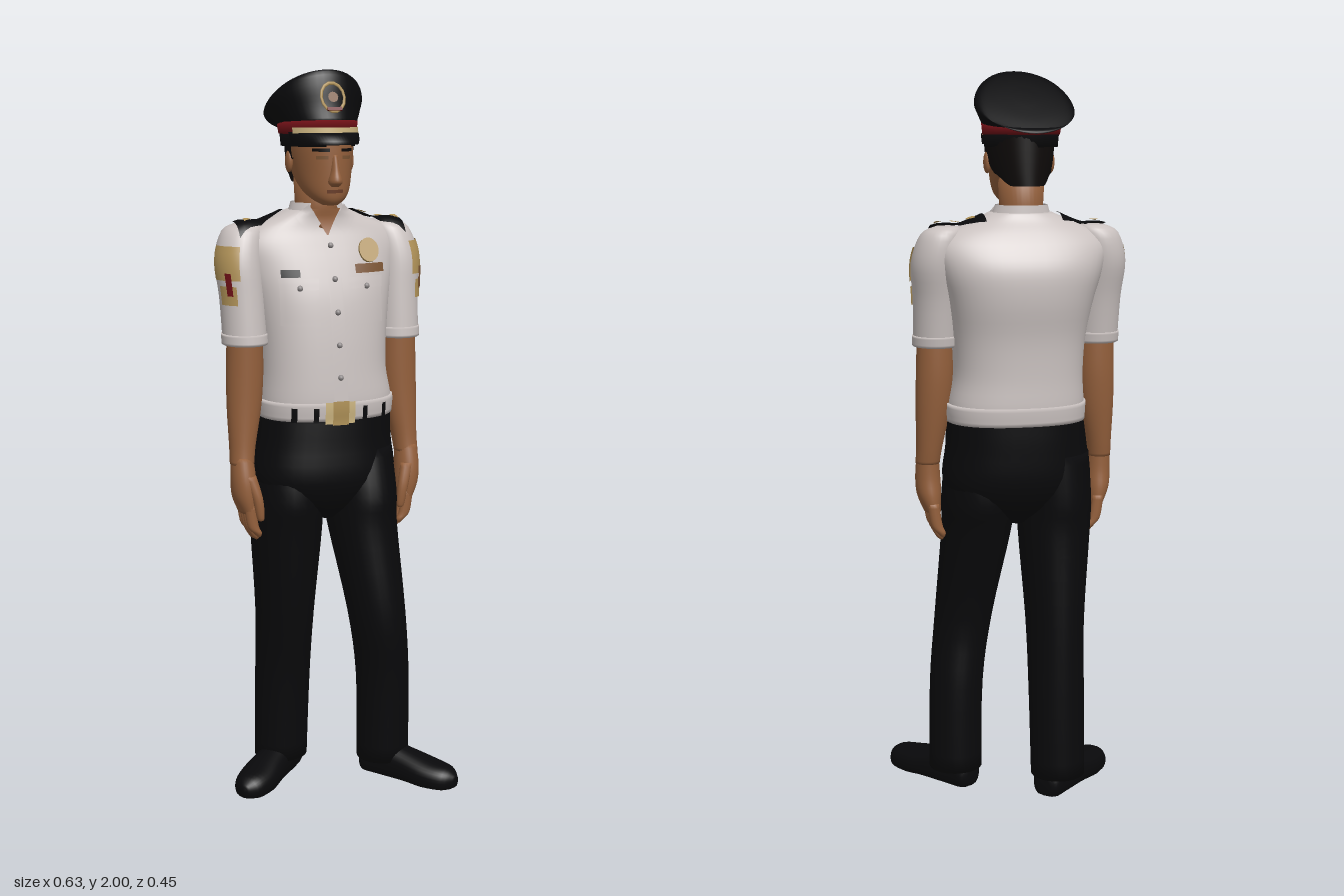
import * as THREE from 'three';

const mat = (name, color, side = THREE.FrontSide) => {
  const m = new THREE.MeshStandardMaterial({ color, side });
  m.name = name;
  return m;
};
const D = THREE.DoubleSide;
const M = {
  black: mat('black cloth', 0x09090b, D), shirt: mat('shirt white', 0xcac2c0, D),
  skin: mat('skin', 0x94603c, D), lips: mat('dark skin', 0x6a3d28, D),
  hair: mat('hair', 0x0e0a09, D), gold: mat('gold', 0xb09258, D),
  pale: mat('pale gold', 0xcdb682, D), red: mat('red', 0x6e1016, D),
  brown: mat('ribbon brown', 0x7a5434, D), button: mat('button grey', 0x8f8a8a),
};

// A section is [y, centreX, centreZ, halfX, halfZ, tilt]
function densify(sections, steps = 4) {
  const s = sections[0][0] > sections.at(-1)[0] ? [...sections].reverse() : sections;
  const out = [];
  const at = (i, k) => s[Math.max(0, Math.min(s.length - 1, i))][k] ?? 0;
  for (let i = 0; i < s.length - 1; i++)
    for (let q = 0; q < steps; q++) {
      const t = q / steps;
      out.push([0, 1, 2, 3, 4, 5].map((k) => {
        const [a, b, c, d] = [at(i - 1, k), at(i, k), at(i + 1, k), at(i + 2, k)];
        return b + 0.5 * t * (c - a + t * (2 * a - 5 * b + 4 * c - d + t * (3 * (b - c) + d - a)));
      }));
    }
  out.push([0, 1, 2, 3, 4, 5].map((k) => at(s.length - 1, k)));
  return out;
}

// Skin over sections; a partial arc leaves it open
function loft(rings, { n = 2, seg = 32, arc = null } = {}) {
  const pos = [], idx = [], cols = arc ? seg + 1 : seg;
  const pw = (v) => Math.sign(v) * Math.abs(v) ** (2 / n);
  const [a0, a1] = arc ?? [0, Math.PI * 2];
  for (const [y, cx, cz, rx, rz, tilt = 0] of rings)
    for (let j = 0; j < cols; j++) {
      const a = a0 + (a1 - a0) * j / seg, dz = rz * pw(Math.sin(a));
      pos.push(cx + rx * pw(Math.cos(a)), y + tilt * dz, cz + dz);
    }
  for (let i = 0; i < rings.length - 1; i++)
    for (let j = 0; j < seg; j++) {
      const k = (j + 1) % cols, a = i * cols + j, b = i * cols + k;
      idx.push(a, a + cols, b + cols, a, b + cols, b);
    }
  if (!arc) {
    const b = pos.length / 3, last = (rings.length - 1) * cols;
    for (const r of [rings[0], rings.at(-1)]) pos.push(r[1], r[0], r[2]);
    for (let j = 0; j < seg; j++) {
      const k = (j + 1) % seg;
      idx.push(b, j, k, b + 1, last + k, last + j);
    }
  }
  const g = new THREE.BufferGeometry();
  g.setAttribute('position', new THREE.Float32BufferAttribute(pos, 3));
  g.setIndex(idx);
  g.computeVertexNormals();
  return g;
}

// Section of a dense body at height y
function ringAt(rings, y) {
  if (y <= rings[0][0]) return rings[0];
  for (let i = 1; i < rings.length; i++)
    if (y <= rings[i][0]) {
      const t = (y - rings[i - 1][0]) / (rings[i][0] - rings[i - 1][0]);
      return rings[i].map((v, k) => rings[i - 1][k] + t * (v - rings[i - 1][k]));
    }
  return rings.at(-1);
}
const band = (rings, y0, y1, grow) => Array.from({ length: 6 }, (_, i) => {
  const y = y0 + (y1 - y0) * i / 5, r = ringAt(rings, y);
  return [y, r[1], r[2], r[3] + grow, r[4] + grow, 0];
});

// Thin sheet: four plan corners (bottom pair, then top pair) laid on a surface rule
function sheet(corners, place) {
  const g = new THREE.PlaneGeometry(1, 1, 8, 8), p = g.attributes.position;
  for (let i = 0; i < p.count; i++) {
    const u = p.getX(i) + 0.5, v = p.getY(i) + 0.5;
    const c = [0, 1].map((k) => (1 - v) * ((1 - u) * corners[0][k] + u * corners[1][k])
      + v * ((1 - u) * corners[2][k] + u * corners[3][k]));
    p.setXYZ(i, ...place(c[0], c[1]));
  }
  g.computeVertexNormals();
  return g;
}
const onFront = (rings, n, off) => (x, y) => {
  const [, cx, cz, rx, rz] = ringAt(rings, y);
  return [x, y, cz + rz * Math.max(0, 1 - Math.abs((x - cx) / rx) ** n) ** (1 / n) + off];
};
const rect = (x, y, w, h) => [[x - w / 2, y - h / 2], [x + w / 2, y - h / 2], [x - w / 2, y + h / 2], [x + w / 2, y + h / 2]];

export function createModel() {
  const root = new THREE.Group();
  root.name = 'uniformed officer';
  const add = (name, geo, m, parent = root) => {
    const mesh = new THREE.Mesh(geo, m);
    mesh.name = name;
    parent.add(mesh);
    return mesh;
  };
  const mx = (s, x) => (s > 0 ? x : -0.035 - x);
  const side = (s, list) => list.map(([y, x, ...r]) => [y, mx(s, x), ...r]);

  // Shirt body
  const N = 2.4;
  const torso = densify([[1.075, -0.01, -0.05, 0.185, 0.146], [1.12, -0.01, -0.05, 0.187, 0.15], [1.2, -0.015, -0.052, 0.178, 0.146],
    [1.3, -0.015, -0.06, 0.183, 0.143], [1.4, -0.015, -0.077, 0.2, 0.143], [1.48, -0.015, -0.09, 0.222, 0.13],
    [1.54, -0.015, -0.09, 0.232, 0.106], [1.58, -0.015, -0.085, 0.2, 0.085], [1.61, -0.02, -0.075, 0.13, 0.07], [1.63, -0.02, -0.068, 0.085, 0.066]]);
  add('shirt', loft(torso, { n: N, seg: 48 }), M.shirt);
  const front = (name, corners, off, m) => add(name, sheet(corners, onFront(torso, N, off)), m);
  front('placket', rect(-0.015, 1.345, 0.04, 0.44), 0.004, M.shirt);
  front('open throat', [[-0.022, 1.565], [-0.018, 1.565], [-0.06, 1.635], [0.02, 1.635]], 0.009, M.skin);
  for (let i = 0; i < 5; i++) {
    const b = add('button', new THREE.SphereGeometry(0.008, 10, 8), M.button);
    b.position.set(...onFront(torso, N, 0.005)(-0.015, 1.19 + i * 0.087));
  }
  for (const s of [1, -1]) {
    const c = -0.02, k = (dx) => c + s * dx;
    front('collar flap', [[k(0.018), 1.595], [k(0.055), 1.562], [k(0.05), 1.647], [k(0.085), 1.615]], 0.014, M.shirt);
    front('pocket', rect(k(0.095), 1.385, 0.1, 0.11), 0.006, M.shirt);
    front('pocket flap', [[k(0.045), 1.425], [k(0.145), 1.425], [k(0.042), 1.455], [k(0.148), 1.455]], 0.011, M.shirt);
    const b = add('pocket button', new THREE.SphereGeometry(0.008, 10, 8), M.button);
    b.position.set(...onFront(torso, N, 0.01)(k(0.095), 1.43));
  }
  add('collar stand', loft([[1.6, -0.022, -0.065, 0.088, 0.072], [1.65, -0.024, -0.066, 0.07, 0.066]], { arc: [2.1, 7.3] }), M.shirt);
  front('name plate', rect(-0.135, 1.468, 0.05, 0.02), 0.009, M.black);
  front('ribbon bar', rect(0.092, 1.476, 0.09, 0.024), 0.009, M.brown);
  const badge = add('chest badge', new THREE.CylinderGeometry(0.028, 0.028, 0.009, 20), M.gold);
  badge.rotation.x = Math.PI / 2 - 0.35;
  badge.scale.z = 1.2;
  badge.position.set(...onFront(torso, N, 0.007)(0.095, 1.522));

  // Belt
  add('belt', loft(band(torso, 1.072, 1.122, 0.005), { n: N, seg: 48 }), M.shirt);
  for (const x of [-0.14, -0.085, 0.055, 0.12]) front('belt loop', rect(x, 1.09, 0.014, 0.04), 0.009, M.black);
  front('buckle', rect(-0.02, 1.096, 0.085, 0.06), 0.014, M.pale);
  front('buckle plate', rect(-0.02, 1.096, 0.045, 0.066), 0.018, M.gold);

  // Arms, sleeves and shoulder boards
  for (const s of [1, -1]) {
    const arm = new THREE.Group();
    arm.name = s > 0 ? 'left arm' : 'right arm';
    root.add(arm);
    const sleeve = densify(side(s, [[1.597, 0.18, -0.085, 0.03, 0.03], [1.575, 0.195, -0.082, 0.056, 0.06], [1.5, 0.21, -0.07, 0.065, 0.075],
      [1.4, 0.207, -0.053, 0.061, 0.07], [1.275, 0.205, -0.037, 0.06, 0.066]]));
    add('sleeve', loft(sleeve), M.shirt, arm);
    add('sleeve hem', loft(band(sleeve, 1.277, 1.305, 0.003)), M.shirt, arm);
    const arc = (a, b) => (s > 0 ? [a, b] : [Math.PI - b, Math.PI - a]);
    add('sleeve emblem', loft(band(sleeve, 1.45, 1.54, 0.004), { arc: arc(0, 1.25) }), M.gold, arm);
    add('sleeve stripe', loft(band(sleeve, 1.385, 1.435, 0.004), { arc: arc(0.25, 1.05) }), M.gold, arm);
    add('sleeve mark', loft(band(sleeve, 1.41, 1.47, 0.007), { arc: arc(0.65, 0.9) }), s > 0 ? M.brown : M.red, arm);

    const inside = (r, x, y, z, n) => {
      const [, cx, cz, rx, rz] = ringAt(r, y);
      return y <= r.at(-1)[0] && Math.abs((x - cx) / rx) ** n + Math.abs((z - cz) / rz) ** n < 1;
    };
    const onTop = (off) => (x, z) => {
      let y = 1.66;
      while (y > 1.45 && !inside(torso, x, y, z, N) && !inside(sleeve, x, y, z, 2)) y -= 0.001;
      return [x, y + off, z];
    };
    const strip = (a, b, w) => [[a, b]].flatMap(() => {
      const zc = (x) => -0.095 + (x - 0.1) * 0.35;
      return [[mx(s, a), zc(a) + w], [mx(s, b), zc(b) + w], [mx(s, a), zc(a) - w], [mx(s, b), zc(b) - w]];
    });
    add('shoulder board', sheet(strip(0.085, 0.222, 0.036), onTop(0.008)), M.black, arm);
    for (const x of s > 0 ? [0.12, 0.16, 0.2] : [0.19])
      add('rank mark', sheet(strip(x - 0.01, x + 0.01, 0.014), onTop(0.013)), M.gold, arm);

    add('forearm', loft(densify(side(s, [[1.31, 0.207, -0.035, 0.048, 0.05], [1.2, 0.208, -0.035, 0.051, 0.05], [1.1, 0.213, -0.03, 0.047, 0.046],
      [1, 0.222, -0.02, 0.036, 0.04], [0.95, 0.226, -0.012, 0.033, 0.038]]))), M.skin, arm);
    add('palm', loft(densify(side(s, [[0.97, 0.226, -0.013, 0.03, 0.036], [0.91, 0.225, -0.006, 0.034, 0.044], [0.86, 0.222, -0.008, 0.033, 0.049],
      [0.815, 0.215, -0.01, 0.022, 0.046]]))), M.skin, arm);
    for (let f = 0; f < 4; f++) {
      const z = -0.045 + f * 0.023, tip = 0.728 + Math.abs(f - 1.4) * 0.012;
      add('finger', loft(densify(side(s, [[0.84, 0.217, z, 0.016, 0.014], [0.78, 0.208, z, 0.016, 0.013], [tip + 0.012, 0.195, z, 0.012, 0.011],
        [tip, 0.191, z, 0.004, 0.004]])), { seg: 12 }), M.skin, arm);
    }
    add('thumb', loft(densify(side(s, [[0.92, 0.215, 0.022, 0.018, 0.016], [0.86, 0.198, 0.036, 0.015, 0.014], [0.805, 0.19, 0.036, 0.011, 0.011],
      [0.795, 0.19, 0.035, 0.004, 0.004]])), { seg: 12 }), M.skin, arm);
  }

  // Trousers
  add('trouser seat', loft(densify([[1.08, -0.01, -0.05, 0.187, 0.15], [1, -0.015, -0.047, 0.194, 0.15], [0.9, -0.017, -0.04, 0.203, 0.146],
    [0.83, -0.017, -0.035, 0.15, 0.11], [0.78, -0.017, -0.03, 0.03, 0.05]]), { n: 2.3, seg: 40 }), M.black);
  add('left trouser leg', loft(densify([[0.98, 0.083, -0.035, 0.095, 0.12], [0.85, 0.088, -0.022, 0.1, 0.135], [0.75, 0.09, -0.005, 0.096, 0.118],
    [0.5, 0.118, 0.038, 0.081, 0.092], [0.3, 0.142, 0.028, 0.075, 0.082], [0.05, 0.147, 0.02, 0.075, 0.074]])), M.black);
  add('right trouser leg', loft(densify([[0.98, -0.118, -0.055, 0.095, 0.125], [0.85, -0.124, -0.047, 0.1, 0.132], [0.75, -0.122, -0.05, 0.099, 0.12],
    [0.5, -0.121, -0.07, 0.081, 0.103], [0.3, -0.122, -0.09, 0.078, 0.084], [0.05, -0.125, -0.1, 0.076, 0.074]])), M.black);

  // Shoes: lofted heel to toe, flattened on the ground
  for (const [name, x, z, turn] of [['left shoe', 0.15, 0.025, 0.65], ['right shoe', -0.122, -0.1, -0.8]]) {
    const g = loft(densify([[-0.07, 0, -0.03, 0.02, 0.02], [-0.055, 0, -0.035, 0.042, 0.045], [0, 0, -0.04, 0.046, 0.06], [0.07, 0, -0.035, 0.05, 0.05],
      [0.15, 0, -0.025, 0.056, 0.042], [0.21, 0, -0.02, 0.043, 0.036], [0.238, 0, -0.02, 0.012, 0.015]]), { n: 2.3 });
    g.rotateX(Math.PI / 2);
    const p = g.attributes.position;
    for (let i = 0; i < p.count; i++) p.setY(i, Math.max(0, p.getY(i)));
    g.computeVertexNormals();
    const shoe = add(name, g, M.black);
    shoe.position.set(x, 0, z);
    shoe.rotation.y = turn;
  }

  // Head
  const X = -0.025;
  add('neck', loft([[1.57, X, -0.06, 0.062, 0.06], [1.64, X, -0.06, 0.058, 0.058], [1.72, X, -0.06, 0.062, 0.065]]), M.skin);
  const head = densify([[1.648, X, 0.045, 0.02, 0.022], [1.663, X, 0.03, 0.044, 0.048], [1.69, X, 0.005, 0.064, 0.077],
    [1.74, X, -0.025, 0.078, 0.109], [1.8, X, -0.032, 0.085, 0.116], [1.86, X, -0.032, 0.083, 0.113]]);
  add('head', loft(head), M.skin);
  const hair = loft(band(head, 1.7, 1.85, 0.006).map((r, i) => [r[0], r[1], -0.035, Math.max(r[3], 0.075), 0.118]), { arc: [2.95, 6.48] });
  const hp = hair.attributes.position;
  for (let i = 0; i < hp.count; i++) hp.setY(i, Math.max(hp.getY(i), 1.7 + (hp.getZ(i) + 0.13) * 0.6));
  hair.computeVertexNormals();
  add('hair', hair, M.hair);
  add('nose', loft(densify([[1.697, X, 0.08, 0.01, 0.01], [1.71, X, 0.082, 0.019, 0.025], [1.74, X, 0.08, 0.012, 0.018], [1.78, X, 0.075, 0.008, 0.012]])), M.skin);
  const face = (name, c, m) => add(name, sheet(c, onFront(head, 2, 0.003)), m);
  face('mouth', rect(X, 1.685, 0.045, 0.009), M.lips);
  for (const s of [1, -1]) {
    face('eye', rect(X + s * 0.034, 1.773, 0.028, 0.009), M.brown);
    face('eyebrow', rect(X + s * 0.036, 1.792, 0.04, 0.008), M.hair);
    const ear = add('ear', new THREE.SphereGeometry(0.028, 14, 10), M.skin);
    ear.scale.set(0.35, 1.05, 0.65);
    ear.position.set(X + s * 0.087, 1.76, -0.035);
  }

  // Peaked cap
  const C = -0.03;
  add('cap band', loft([[1.8, C, -0.035, 0.097, 0.116], [1.84, C, -0.037, 0.1, 0.119]]), M.black);
  add('cap red band', loft([[1.832, C, -0.037, 0.102, 0.121], [1.862, C, -0.04, 0.106, 0.123, 0.06]]), M.red);
  add('cap crown', loft(densify([[1.858, C, -0.04, 0.104, 0.122, 0.08], [1.878, C, -0.055, 0.118, 0.126, 0.22], [1.902, C, -0.071, 0.132, 0.131, 0.46],
    [1.917, C, -0.079, 0.122, 0.122, 0.66], [1.924, C, -0.08, 0.08, 0.08, 0.68], [1.927, C, -0.08, 0.02, 0.02, 0.68]]), { seg: 48 }), M.black);
  add('cap visor', loft([[1.838, C, -0.035, 0.101, 0.119], [1.832, C, -0.03, 0.103, 0.14], [1.815, C, -0.03, 0.1, 0.157], [1.806, C, -0.03, 0.098, 0.155]].reverse(),
    { arc: [0.3, Math.PI - 0.3] }), M.black);
  add('cap gold strap', loft([[1.83, C, -0.036, 0.106, 0.127], [1.85, C, -0.037, 0.106, 0.126]], { arc: [0.5, Math.PI - 0.5] }), M.pale);

  // Cap badge
  const emblem = new THREE.Group();
  emblem.name = 'cap badge';
  emblem.position.set(C, 1.927, 0.078);
  emblem.rotation.x = -0.33;
  root.add(emblem);
  const ring = add('badge ring', new THREE.TorusGeometry(0.032, 0.004, 6, 14), M.gold, emblem);
  ring.scale.set(1, 1.2, 0.8);
  add('badge centre', new THREE.CircleGeometry(0.014, 12), M.brown, emblem).position.z = 0.003;
  add('badge scroll', new THREE.BoxGeometry(0.04, 0.009, 0.006), M.red, emblem).position.set(0, -0.032, 0.003);
  return root;
}
